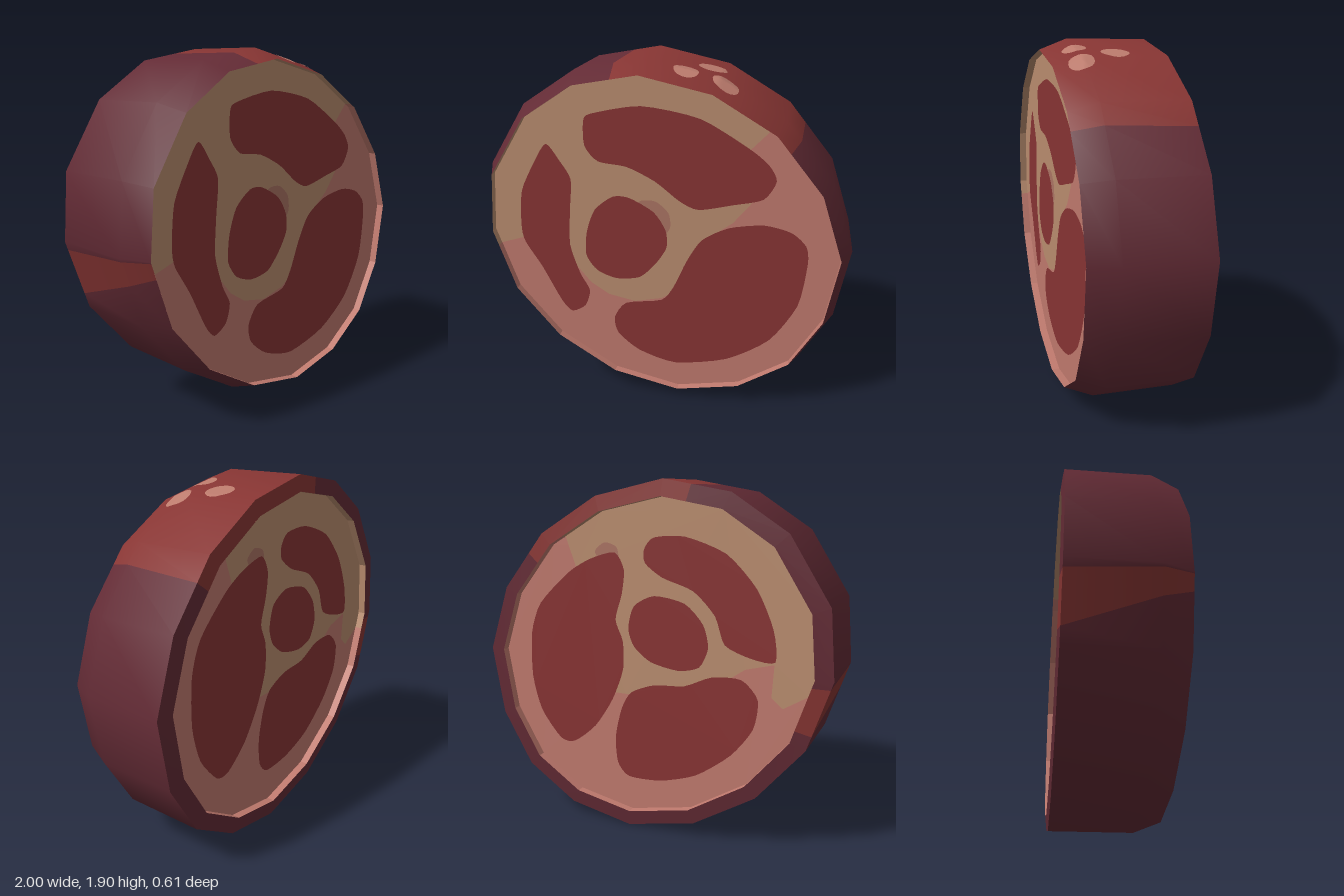
import * as THREE from 'three';
import { toCreasedNormals } from 'three/addons/utils/BufferGeometryUtils.js';

const CY = 0.95;
// Sixteen-sided outline, clockwise seen from the front
const OUTLINE = [
  [-0.11, 1.905], [0.28, 1.82], [0.62, 1.62], [0.875, 1.31], [1, 0.945], [0.935, 0.56], [0.76, 0.26], [0.47, 0.07],
  [0.105, 0], [-0.285, 0.085], [-0.63, 0.3], [-0.88, 0.6], [-1, 0.965], [-0.97, 1.315], [-0.76, 1.65], [-0.47, 1.84],
];
const FRONT = 0.94, BACK = 0.91; // rim scale at each end
const RIM = 0.303, FLOOR = 0.26; // the cut faces lie recessed inside the rim
const scaled = (p, s) => [p[0] * s, CY + (p[1] - CY) * s];
const ring = (s, ids) => ids.map((i) => scaled(OUTLINE[i], s));

const mat = (name, color, side = THREE.FrontSide) => {
  const m = new THREE.MeshStandardMaterial({ color, side });
  m.name = name;
  return m;
};

export function createModel() {
  const group = new THREE.Group();
  const rind = mat('dark rind', 0x632b35);
  const redRind = mat('red rind', 0x873533);
  const fat = mat('pink fat', 0xc07a6e, THREE.DoubleSide);
  const cream = mat('cream fat', 0xba8d6f, THREE.DoubleSide);
  const meat = mat('red meat', 0x883434);
  const spot = mat('pale spot', 0xbc7b6d);
  const dull = mat('dull fat', 0xac7464);

  const add = (name, geo, material) => {
    const mesh = new THREE.Mesh(geo, material);
    mesh.name = name;
    group.add(mesh);
  };

  // Rind: rings lofted front to back, with extra cuts where the red patches begin and end
  const knots = OUTLINE.map((_, i) => [i, 0, 0]);
  knots.push([2, 0.29, 0.36], [11, 0.75, 0.2], [11, 0.98, 0.88], [15, 0.58, 0.58]);
  knots.sort((a, b) => a[0] + a[1] - b[0] - b[1]);
  const sections = [[FRONT, RIM], [1, 0.155], [1, -0.292], [BACK, -RIM]];
  const vertex = (j, r) => {
    const [seg, tf, tb] = knots[j % knots.length];
    const [s, z] = sections[r];
    const t = tf + (tb - tf) * (RIM - z) / (2 * RIM);
    const a = OUTLINE[seg], b = OUTLINE[(seg + 1) % OUTLINE.length];
    const [x, y] = scaled([a[0] + (b[0] - a[0]) * t, a[1] + (b[1] - a[1]) * t], s);
    return [x, y, z];
  };
  const dark = [], red = [];
  knots.forEach(([seg, tf], j) => {
    const f = seg + tf;
    const isRed = f > 15.5 || f < 2.2 || (f > 11.7 && f < 11.9);
    for (let r = 0; r < sections.length - 1; r++) {
      const a = vertex(j, r), b = vertex(j + 1, r), c = vertex(j + 1, r + 1), d = vertex(j, r + 1);
      (isRed ? red : dark).push(...a, ...b, ...c, ...a, ...c, ...d);
    }
  });
  const rindGeo = new THREE.BufferGeometry();
  rindGeo.setAttribute('position', new THREE.Float32BufferAttribute([...dark, ...red], 3));
  rindGeo.addGroup(0, dark.length / 3, 0);
  rindGeo.addGroup(dark.length / 3, red.length / 3, 1);
  add('rind', toCreasedNormals(rindGeo, 0.7), [rind, redRind]);

  // Flat region on the front or back cut face; layer lifts it slightly
  const region = (name, pts, material, layer, back, smooth) => {
    let v = pts.map(([x, y]) => new THREE.Vector3(back ? -x : x, y, 0));
    if (smooth) v = new THREE.CatmullRomCurve3(v, true, 'catmullrom', 0.35).getPoints(pts.length * 4).slice(0, -1);
    const geo = new THREE.ShapeGeometry(new THREE.Shape(v.map((p) => new THREE.Vector2(p.x, p.y))));
    geo.translate(0, 0, FLOOR + layer * 0.0015);
    if (back) geo.rotateY(Math.PI);
    add(name, geo, material);
  };
  // Short inward wall from the rim down to the recessed face
  const wall = (name, pts, material, side) => {
    const p = [];
    for (let i = 0; i < pts.length - 1; i++) {
      const a = [...pts[i], side * RIM], b = [...pts[i + 1], side * RIM];
      const c = [...pts[i + 1], side * FLOOR], d = [...pts[i], side * FLOOR];
      if (side > 0) p.push(...a, ...c, ...b, ...a, ...d, ...c);
      else p.push(...a, ...b, ...c, ...a, ...c, ...d);
    }
    const geo = new THREE.BufferGeometry();
    geo.setAttribute('position', new THREE.Float32BufferAttribute(p, 3));
    geo.computeVertexNormals();
    add(name, geo, material);
  };

  const all = OUTLINE.map((_, i) => i);
  const upper = [12, 13, 14, 15, 0, 1], lower = [2, 3, 4, 5, 6, 7, 8, 9, 10, 11];

  // Front cut face
  const frontA = [-0.912, 0.88], frontB = [0.55, 1.598];
  const frontEdge = [frontA, ...ring(FRONT, upper), frontB];
  wall('frontCreamWall', frontEdge, cream, 1);
  wall('frontFatWall', [frontB, ...ring(FRONT, lower), frontA], fat, 1);
  region('frontFat', ring(FRONT, all), fat, 0, false);
  region('frontCreamFat', [
    ...frontEdge, [0.42, 1.46], [0.45, 1.35], [0.5, 1.25], [0.38, 1.1], [0.26, 1.01], [0.3, 0.9], [0.1, 0.68],
    [0, 0.62], [-0.15, 0.585], [-0.3, 0.615], [-0.4, 0.68], [-0.5, 0.8], [-0.72, 0.94], [-0.79, 0.92],
  ], cream, 1, false);
  region('frontCentrePatch', [[-0.12, 1.18], [-0.03, 1.19], [0.04, 1.13], [0.05, 1.05], [0.01, 1], [-0.1, 1.05]], dull, 2, false, true);
  region('frontTopMuscle', [
    [-0.4, 1.6], [-0.36, 1.64], [-0.1, 1.69], [0.2, 1.64], [0.45, 1.5], [0.55, 1.42], [0.59, 1.34], [0.53, 1.24],
    [0.38, 1.2], [0.2, 1.16], [0.1, 1.2], [-0.03, 1.3], [-0.18, 1.37], [-0.33, 1.39], [-0.4, 1.47],
  ], meat, 3, false, true);
  region('frontSideMuscle', [
    [-0.61, 1.47], [-0.54, 1.38], [-0.485, 1.28], [-0.5, 1.1], [-0.51, 0.9], [-0.46, 0.73], [-0.41, 0.63], [-0.44, 0.53],
    [-0.52, 0.485], [-0.58, 0.55], [-0.68, 0.75], [-0.77, 0.9], [-0.785, 1], [-0.765, 1.2], [-0.68, 1.37],
  ], meat, 3, false, true);
  region('frontCentreMuscle', [
    [-0.26, 1.2], [-0.17, 1.2], [-0.04, 1.13], [0.025, 1.03], [0.03, 0.93], [-0.03, 0.83], [-0.12, 0.74], [-0.25, 0.72],
    [-0.36, 0.76], [-0.42, 0.85], [-0.41, 0.99], [-0.36, 1.12],
  ], meat, 3, false, true);
  region('frontLargeMuscle', [
    [0.54, 1.1], [0.68, 1.07], [0.76, 1], [0.775, 0.9], [0.74, 0.65], [0.6, 0.42], [0.37, 0.27], [0.08, 0.21],
    [-0.13, 0.27], [-0.25, 0.37], [-0.27, 0.47], [-0.2, 0.57], [0, 0.61], [0.07, 0.7], [0.14, 0.86], [0.22, 0.99], [0.36, 1.07],
  ], meat, 3, false, true);

  // Back cut face
  const backA = [-0.879, 0.87], backB = [0.486, 1.606];
  const backEdge = [backA, ...ring(BACK, upper), backB];
  wall('backCreamWall', backEdge, cream, -1);
  wall('backFatWall', [backB, ...ring(BACK, lower), backA], fat, -1);
  region('backFat', ring(BACK, all), fat, 0, true);
  region('backCreamFat', [
    ...backEdge, [0.425, 1.44], [0.33, 1.08], [0.28, 0.76], [0.13, 0.76], [-0.21, 0.78], [-0.42, 0.88],
    [-0.55, 0.97], [-0.7, 1.01], [-0.69, 0.84], [-0.75, 0.79],
  ], cream, 1, true);
  region('backEdgePatch', [[0.165, 1.5], [0.175, 1.56], [0.245, 1.58], [0.305, 1.53], [0.245, 1.46]], dull, 2, true, true);
  region('backLargeMuscle', [
    [0.185, 1.53], [0.13, 1.44], [0.145, 1.31], [0.185, 1.17], [0.143, 1.055], [0.143, 0.9], [0.212, 0.72], [0.325, 0.55],
    [0.465, 0.437], [0.56, 0.442], [0.685, 0.597], [0.74, 0.8], [0.733, 1.055], [0.665, 1.23], [0.475, 1.41], [0.335, 1.49],
  ], meat, 3, true, true);
  region('backTopMuscle', [
    [0.011, 1.55], [-0.045, 1.613], [-0.218, 1.622], [-0.44, 1.544], [-0.6, 1.38], [-0.69, 1.184], [-0.705, 1.024],
    [-0.58, 1.03], [-0.44, 1.086], [-0.385, 1.23], [-0.265, 1.35], [-0.093, 1.41], [0.005, 1.48],
  ], meat, 3, true, true);
  region('backCentreMuscle', [
    [0.108, 1.127], [0.074, 1.25], [-0.045, 1.312], [-0.218, 1.283], [-0.322, 1.18], [-0.35, 1.06], [-0.301, 0.955],
    [-0.183, 0.925], [-0.025, 0.955], [0.074, 1.03],
  ], meat, 3, true, true);
  region('backBottomMuscle', [
    [0.155, 0.675], [0.095, 0.773], [-0.045, 0.83], [-0.218, 0.845], [-0.371, 0.91], [-0.531, 0.915], [-0.621, 0.82],
    [-0.6, 0.66], [-0.482, 0.5], [-0.288, 0.355], [-0.079, 0.287], [0.115, 0.28], [0.185, 0.355], [0.195, 0.51],
  ], meat, 3, true, true);

  // Height of the top of the rind at a given x and z
  const topHeight = (x, z) => {
    const s = 1 - (1 - FRONT) * Math.max(0, z - 0.155) / (RIM - 0.155);
    const u = x / s;
    const i = u < 0.28 ? 0 : 1;
    const [a, b] = [OUTLINE[i], OUTLINE[i + 1]];
    return CY + s * (a[1] + (b[1] - a[1]) * (u - a[0]) / (b[0] - a[0]) - CY);
  };
  // Pale spots draped over the red patch
  for (const [x, z, r] of [[0.22, -0.03, 0.075], [0.11, 0.16, 0.064], [0.31, 0.167, 0.066]]) {
    const geo = new THREE.RingGeometry(0, r, 18, 5).rotateX(-Math.PI / 2).translate(x, 0, z);
    const p = geo.attributes.position;
    for (let i = 0; i < p.count; i++) p.setY(i, topHeight(p.getX(i), p.getZ(i)) + 0.003);
    geo.computeVertexNormals();
    add('rindSpot', geo, spot);
  }
  return group;
}
